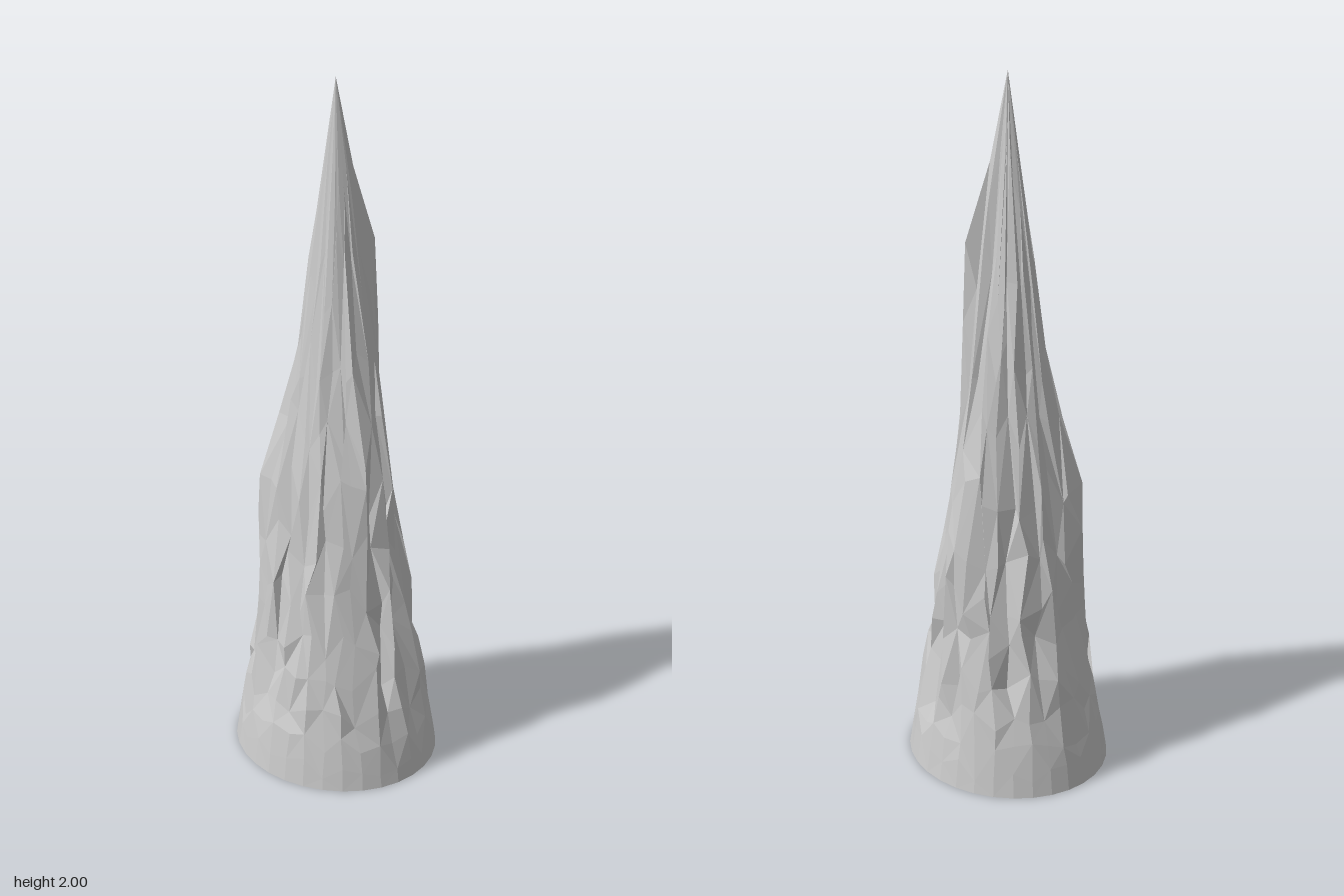
import * as THREE from 'three';

const SIDES = 32, HEIGHT = 2, RX = 0.308, RZ = 0.28;

// seeded random numbers, 0..1
function seeded(seed) {
  return () => {
    seed = (seed * 1664525 + 1013904223) % 4294967296;
    return seed / 4294967296;
  };
}

// broad shoulders that lean out of the cone: angle (degrees), height, amount, angular and vertical spread
const SHOULDERS = [
  [14, 1.07, 0.05, 16, 0.2],
  [136, 0.82, 0.045, 16, 0.22],
  [256, 0.8, 0.052, 18, 0.27],
  [290, 1.5, 0.06, 16, 0.24],
];

function shoulder(angle, y) {
  let sum = 0;
  for (const [deg, h, amount, spread, tall] of SHOULDERS) {
    const d = ((angle * 180 / Math.PI - deg + 900) % 360) - 180;
    sum += amount * Math.exp(-((d / spread) ** 2) - ((y - h) / tall) ** 2);
  }
  return sum;
}

// elliptical cone whose rows are jittered into long, jagged vertical splinters
function spikeGeometry() {
  const rand = seeded(17);
  const heights = [0, 0.06, 0.13, 0.22, 0.32, 0.43, 0.56, 0.7, 0.86, 1.04, 1.24, 1.48, 1.72];
  const pleats = Array.from({ length: SIDES }, (_, i) => (i % 2 ? 0.16 : 0.02) * rand());
  const step = Math.PI * 2 / SIDES;
  const positions = [], index = [];

  heights.forEach((h, row) => {
    const gap = row ? h - heights[row - 1] : 0;
    const rough = THREE.MathUtils.smoothstep(h, 0.02, 0.4);
    for (let i = 0; i < SIDES; i++) {
      const y = h + (rand() - 0.5) * gap * 0.9;
      const a = i * step + (rand() - 0.5) * step * 1.1 * rough;
      const dent = rough * (pleats[i] + 0.09 * rand());
      const r = (1 - y / HEIGHT) * (1.015 - dent - 0.015 * (1 - rough));
      const out = shoulder(a, y);
      positions.push(Math.cos(a) * (RX * r + out), y, Math.sin(a) * (RZ * r + out));
    }
  });
  const tip = positions.length / 3, floor = tip + 1;
  positions.push(0, HEIGHT, 0, 0, 0, 0);

  // walls, then the pointed tip and the flat underside
  const last = heights.length - 1;
  for (let i = 0; i < SIDES; i++) {
    const j = (i + 1) % SIDES;
    for (let row = 0; row < last; row++) {
      const a = row * SIDES + i, b = row * SIDES + j;
      const c = a + SIDES, d = b + SIDES;
      if ((i + row) % 2) index.push(a, c, b, b, c, d);
      else index.push(a, c, d, a, d, b);
    }
    index.push(last * SIDES + i, tip, last * SIDES + j);
    index.push(floor, i, j);
  }

  const geometry = new THREE.BufferGeometry();
  geometry.setAttribute('position', new THREE.Float32BufferAttribute(positions, 3));
  geometry.setIndex(index);
  const faceted = geometry.toNonIndexed();
  faceted.computeVertexNormals();
  return faceted;
}

export function createModel() {
  const group = new THREE.Group();
  group.name = 'rockSpike';
  const material = new THREE.MeshStandardMaterial({
    color: 0xcccccc, flatShading: true, side: THREE.DoubleSide,
  });
  const spike = new THREE.Mesh(spikeGeometry(), material);
  spike.name = 'spike';
  group.add(spike);
  return group;
}
